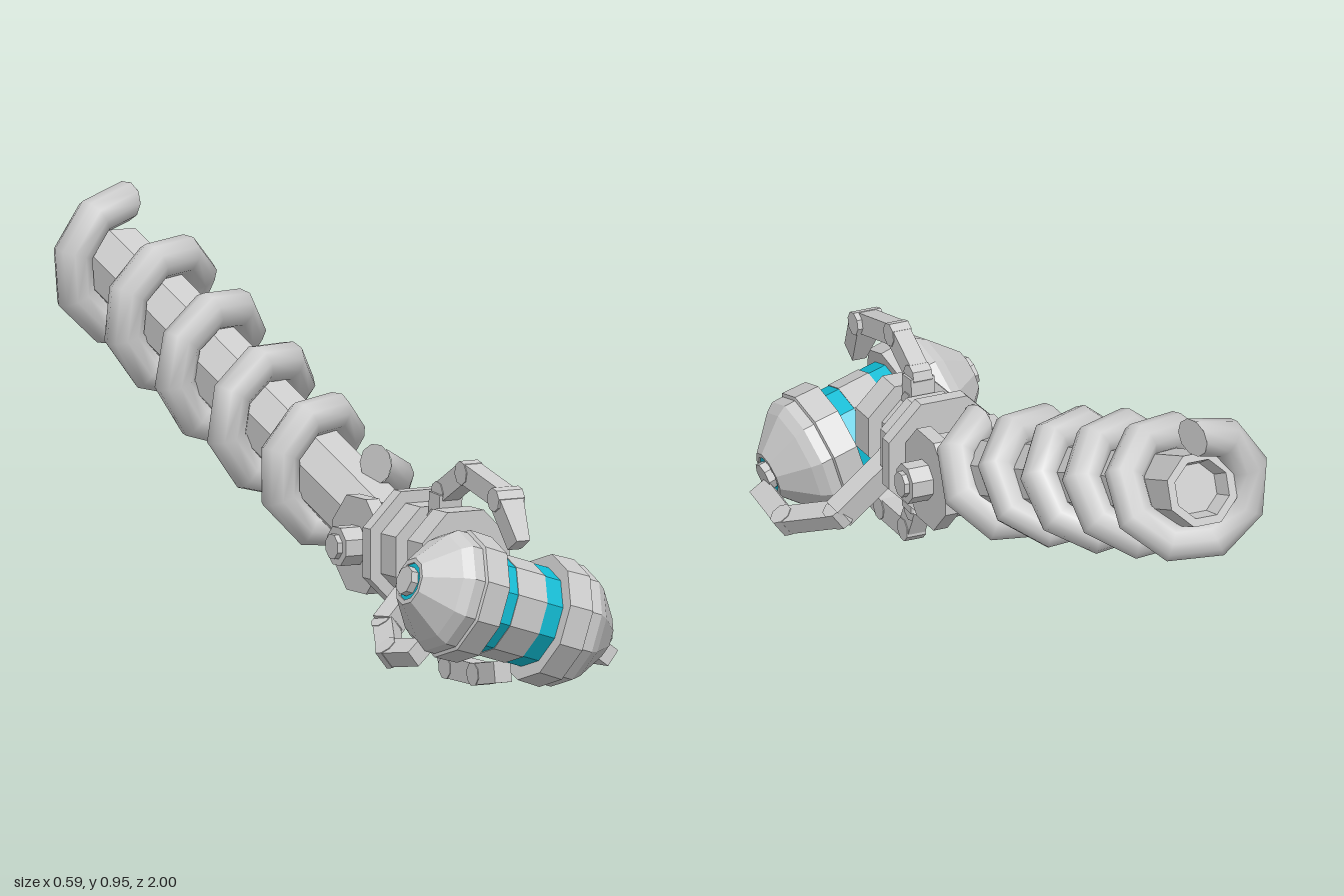
import * as THREE from 'three';

const V = (x, y, z) => new THREE.Vector3(x, y, z);
const grey = new THREE.MeshStandardMaterial({ color: 0xcccccc, flatShading: true });
const greySmooth = new THREE.MeshStandardMaterial({ color: 0xcccccc });
const greyThin = new THREE.MeshStandardMaterial({ color: 0xcccccc, side: THREE.DoubleSide });
const cyan = new THREE.MeshStandardMaterial({ color: 0x10bcd4, flatShading: true });
const CX = -0.015;

function add(parent, name, geometry, material = grey) {
  const mesh = new THREE.Mesh(geometry, material);
  mesh.name = name;
  parent.add(mesh);
  return mesh;
}

// Regular prism with a flat on top, lying along x or z
function prism(apothem, length, sides, axis) {
  const r = apothem / Math.cos(Math.PI / sides);
  const g = new THREE.CylinderGeometry(r, r, length, sides);
  g.rotateY(Math.PI / sides);
  return axis === 'x' ? g.rotateZ(Math.PI / 2) : g.rotateX(Math.PI / 2);
}

// Coil that winds round the arm: top, left side, underside, right side
class Coil extends THREE.Curve {
  constructor(start, end, up, radii, turns, phase) {
    super();
    Object.assign(this, { start, end, up, radii, turns, phase });
  }
  getPoint(t, target = V(0, 0, 0)) {
    const a = this.phase + t * this.turns * Math.PI * 2;
    const r = THREE.MathUtils.lerp(this.radii[0], this.radii[1], t);
    return target.lerpVectors(this.start, this.end, t)
      .addScaledVector(V(1, 0, 0), Math.sin(a) * r)
      .addScaledVector(this.up, Math.cos(a) * r);
  }
}

function buildArm(group) {
  const low = V(CX, 0.305, 0.31), high = V(CX, 0.78, -0.95);
  const dir = high.clone().sub(low).normalize();
  const up = V(0, -dir.z, dir.y);
  const len = low.distanceTo(high);

  // Octagonal shaft with a recessed far end
  const profile = [[0, 0], [0.09, 0], [0.09, len], [0.07, len], [0.06, len - 0.05], [0, len - 0.05]];
  const shaft = add(group, 'armShaft', new THREE.LatheGeometry(profile.map(p => new THREE.Vector2(...p)), 8, Math.PI / 8));
  shaft.position.copy(low);
  shaft.quaternion.setFromUnitVectors(V(0, 1, 0), dir);

  // Coiled hose and its end caps
  const coil = new Coil(V(-0.028, 0.35, 0.2), V(CX, 0.797, -0.998), up, [0.117, 0.13], 5, 0.2);
  add(group, 'coiledHose', new THREE.TubeGeometry(coil, 40, 0.047, 10), greySmooth);
  for (const t of [0, 1]) {
    const cap = add(group, 'hoseEnd', new THREE.CircleGeometry(0.047, 10), greyThin);
    cap.position.copy(coil.getPointAt(t));
    cap.lookAt(cap.position.clone().add(coil.getTangentAt(t).multiplyScalar(t ? 1 : -1)));
  }
}

function buildElbow(group) {
  const y = 0.29, z = 0.34;
  add(group, 'elbowBarrel', prism(0.09, 0.13, 8, 'x')).position.set(CX, y, z);
  for (const s of [-1, 1]) {
    add(group, 'elbowCheek', prism(0.11, 0.035, 8, 'x')).position.set(CX + s * 0.08, y, z);
    add(group, 'cheekStrut', new THREE.BoxGeometry(0.035, 0.09, 0.06)).position.set(CX + s * 0.08, y, 0.43);
  }
  add(group, 'elbowPin', prism(0.044, 0.3, 8, 'x')).position.set(CX, y, z);
  add(group, 'pinTip', prism(0.028, 0.325, 8, 'x')).position.set(CX, y, z);
}

function buildWrist(group) {
  // [name, apothem, z from, z to]
  const discs = [
    ['wristPlate', 0.14, 0.445, 0.48],
    ['wristCollar', 0.112, 0.48, 0.55],
    ['wristCore', 0.08, 0.55, 0.61],
    ['palmDisc', 0.115, 0.61, 0.678],
  ];
  for (const [name, r, a, b] of discs) {
    add(group, name, prism(r, b - a, 8, 'z')).position.set(CX, 0.288, (a + b) / 2);
  }
}

function buildCanister(group) {
  const can = new THREE.Group();
  can.name = 'canister';
  can.position.set(CX, 0.2, 0.858);
  can.rotation.z = -Math.PI / 2 - 0.31;
  group.add(can);

  const half = [[0.12, 0.04], [0.113, 0.04], [0.113, 0.084], [0.15, 0.084], [0.152, 0.145],
    [0.144, 0.148], [0.144, 0.175], [0.128, 0.198], [0.056, 0.265], [0.045, 0.265], [0.045, 0.25], [0, 0.25]];
  const full = [...half.map(([r, h]) => [r, -h]).reverse(), ...half];
  add(can, 'canisterShell', new THREE.LatheGeometry(full.map(p => new THREE.Vector2(...p)), 10, Math.PI / 10));

  for (const s of [-1, 1]) {
    const band = add(can, 'glowBand', new THREE.CylinderGeometry(0.118, 0.118, 0.044, 10), cyan);
    band.position.y = s * 0.062;
    band.rotation.y = Math.PI / 10;
    add(can, 'endGlow', new THREE.CylinderGeometry(0.045, 0.045, 0.012, 10), cyan).position.y = s * 0.255;
    add(can, 'endKnob', new THREE.CylinderGeometry(0.034, 0.034, 0.03, 8)).position.y = s * 0.264;
  }
}

// Finger: tapered links joined by pins, following a bent path.
// Each link has a [start, end] width.
function buildFinger(group, name, points, widths, outward) {
  const finger = new THREE.Group();
  finger.name = name;
  group.add(finger);
  widths.forEach(([w0, w1], i) => {
    const [a, b] = [points[i], points[i + 1]];
    const dir = b.clone().sub(a).normalize();
    const side = outward.clone().cross(dir).normalize();
    const lift = dir.clone().cross(side);
    const len = a.distanceTo(b);

    const g = new THREE.BoxGeometry(1, 0.05, len);
    const p = g.attributes.position;
    for (let k = 0; k < p.count; k++) p.setX(k, p.getX(k) * (p.getZ(k) > 0 ? w1 : w0));
    const link = add(finger, 'fingerLink', g);
    link.quaternion.setFromRotationMatrix(new THREE.Matrix4().makeBasis(side, lift, dir));
    link.position.copy(a).add(b).multiplyScalar(0.5);

    const pin = add(finger, 'fingerPin', prism(0.026, w0 + 0.004, 8, 'x'));
    pin.quaternion.copy(link.quaternion);
    pin.position.copy(a);
  });
}

export function createModel() {
  const model = new THREE.Group();
  model.name = 'coiledGrabberArm';
  buildArm(model);
  buildElbow(model);
  buildWrist(model);
  buildCanister(model);

  const base = [0.06, 0.06], mid = [0.044, 0.044], tip = [0.065, 0.035];
  buildFinger(model, 'topFinger', [V(CX, 0.37, 0.58), V(CX, 0.435, 0.585), V(CX, 0.495, 0.695),
    V(CX, 0.455, 0.865), V(CX, 0.355, 0.925)], [base, mid, mid, tip], V(0, 1, 0.2));
  buildFinger(model, 'bottomFinger', [V(CX, 0.2, 0.58), V(CX, 0.1, 0.585), V(CX, 0.035, 0.62),
    V(CX, 0.035, 0.75), V(CX, 0.052, 0.85)], [base, mid, mid, mid], V(0, -1, 0.2));
  buildFinger(model, 'leftFinger', [V(0.05, 0.24, 0.575), V(0.19, 0.125, 0.58),
    V(0.262, 0.07, 0.71), V(0.25, 0.08, 0.86)], [base, mid, mid], V(0.78, -0.6, 0.2));
  buildFinger(model, 'rightFinger', [V(-0.08, 0.24, 0.59), V(-0.2, 0.145, 0.635),
    V(-0.255, 0.1, 0.75), V(-0.24, 0.115, 0.86)], [base, mid, mid], V(-0.78, -0.6, 0.2));
  return model;
}
